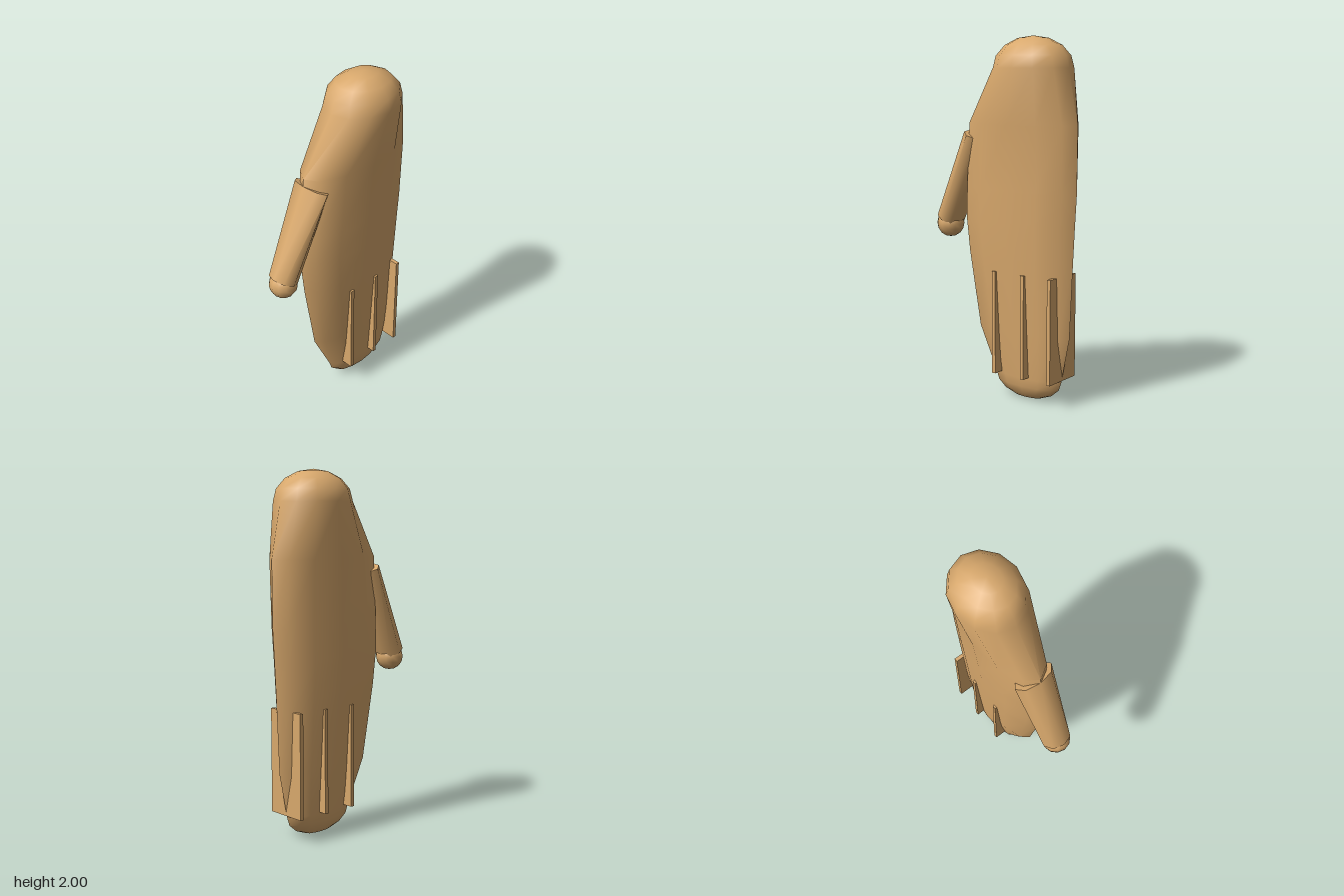
import * as THREE from 'three';
import { toCreasedNormals } from 'three/addons/utils/BufferGeometryUtils.js';

// Skin a stack of elliptical rings, listed bottom to top as [y, halfWidth, zFront, zBack]
function loft(rings, sides) {
  const pos = [], index = [];
  for (const [y, rx, front, back] of rings) {
    for (let i = 0; i < sides; i++) {
      const a = (i / sides) * Math.PI * 2;
      pos.push(rx * Math.sin(a), y, (front + back) / 2 + ((front - back) / 2) * Math.cos(a));
    }
  }
  for (let r = 0; r < rings.length - 1; r++) {
    for (let i = 0; i < sides; i++) {
      const j = (i + 1) % sides;
      const a = r * sides + i, b = r * sides + j, c = a + sides, d = b + sides;
      if (rings[r][1] > 0) index.push(a, b, d);
      if (rings[r + 1][1] > 0) index.push(a, d, c);
    }
  }
  const geo = new THREE.BufferGeometry();
  geo.setAttribute('position', new THREE.Float32BufferAttribute(pos, 3));
  geo.setIndex(index);
  return toCreasedNormals(geo, 1.08);
}

// Rings of a rounded end cap, from its rim towards its pole
function capRings(yRim, height, rx, zc, rz, steps) {
  const out = [];
  for (let k = 1; k <= steps; k++) {
    const t = (k / steps) * Math.PI / 2;
    const s = k === steps ? 0 : Math.cos(t);
    out.push([yRim + height * Math.sin(t), rx * s, zc + rz * s, zc - rz * s]);
  }
  return out;
}

export function createModel() {
  const model = new THREE.Group();
  model.name = 'model';
  const tan = new THREE.MeshStandardMaterial({ color: 0xd8a86c });
  tan.name = 'tan';
  const add = (name, geo) => {
    const mesh = new THREE.Mesh(geo, tan);
    mesh.name = name;
    model.add(mesh);
    return mesh;
  };

  // Body: flattened, tapering form with rounded ends
  add('body', loft([
    ...capRings(0.13, -0.13, 0.075, -0.165, 0.225, 4).reverse(),
    [0.13, 0.075, 0.06, -0.39],
    [0.38, 0.094, 0.18, -0.44],
    [0.8, 0.122, 0.25, -0.458],
    [1.0, 0.132, 0.272, -0.468],
    [1.17, 0.138, 0.265, -0.478],
    [1.53, 0.155, 0.238, -0.48],
    [1.83, 0.192, 0.04, -0.42],
    ...capRings(1.83, 0.17, 0.192, -0.19, 0.23, 4),
  ], 12));

  // Limb: tapered oval cylinder leaning out of the front
  const top = new THREE.Vector3(0, 1.46, 0.18);
  const end = new THREE.Vector3(0, 0.965, 0.4);
  const axis = top.clone().sub(end);
  const limbGeo = new THREE.CylinderGeometry(1, 1, axis.length(), 8);
  const p = limbGeo.attributes.position;
  for (let i = 0; i < p.count; i++) {
    const upper = p.getY(i) > 0;
    p.setX(i, p.getX(i) * (upper ? 0.118 : 0.085));
    p.setZ(i, p.getZ(i) * (upper ? 0.067 : 0.075));
  }
  const limb = add('limb', toCreasedNormals(limbGeo, 1.08));
  limb.position.copy(top).add(end).multiplyScalar(0.5);
  limb.quaternion.setFromUnitVectors(new THREE.Vector3(0, 1, 0), axis.clone().normalize());

  // Rounded tip of the limb
  const tip = add('limbTip', new THREE.SphereGeometry(0.08, 12, 8));
  tip.position.set(0, 0.94, 0.4);

  // Upright plates passing through the lower body
  [-0.013, -0.207, -0.385].forEach((z, i) => {
    add('plate' + (i + 1), new THREE.BoxGeometry(0.24, 0.58, 0.022)).position.set(0, 0.43, z);
  });

  return model;
}
